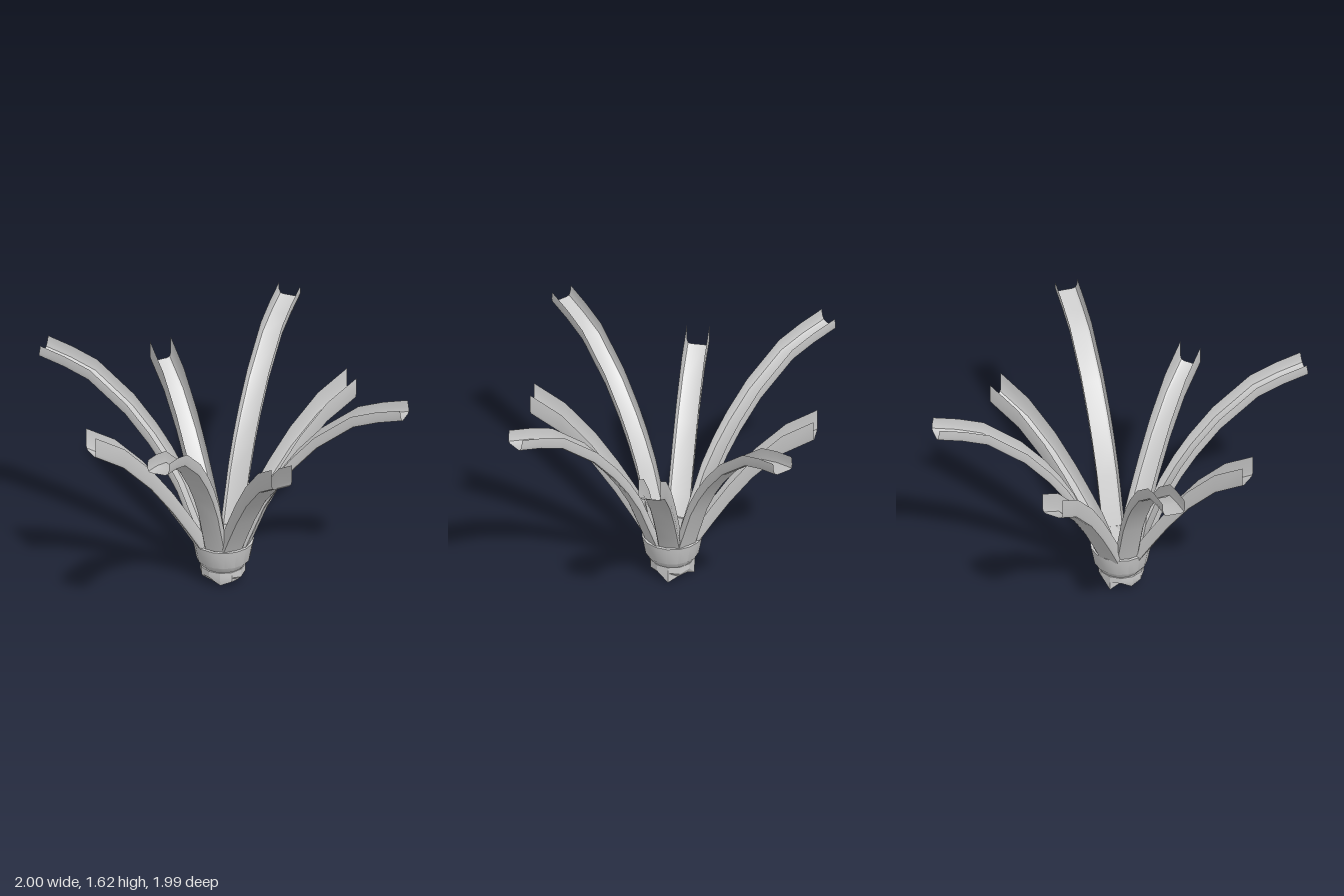
import * as THREE from 'three';
import { toCreasedNormals } from 'three/addons/utils/BufferGeometryUtils.js';

const material = new THREE.MeshStandardMaterial({ color: 0xcccccc, side: THREE.DoubleSide });

// Skin a list of equal-length cross-sections (arrays of [x, y, z]).
function loft(sections, crease) {
  const n = sections[0].length;
  const index = [];
  for (let i = 0; i < sections.length - 1; i++) {
    for (let j = 0; j < n - 1; j++) {
      const a = i * n + j, b = a + n;
      index.push(a, a + 1, b, b, a + 1, b + 1);
    }
  }
  const geometry = new THREE.BufferGeometry();
  geometry.setAttribute('position', new THREE.Float32BufferAttribute(sections.flat(2), 3));
  geometry.setIndex(index);
  return toCreasedNormals(geometry, crease);
}

// Thin U-shaped gutter following a [radius, height] path, running along +z.
function channel(path, wall, lean) {
  const w = 0.078;
  const profile = [[-w, wall], [-w, 0.035], [-w + 0.008, 0.008], [-w + 0.025, 0],
    [w - 0.025, 0], [w - 0.008, 0.008], [w, 0.035], [w, wall]];
  return loft(path.map(([r, y]) => profile.map(([x, h]) => [x, y + h, r - lean * h])), 0.6);
}

function add(parent, name, geometry) {
  const mesh = new THREE.Mesh(geometry, material);
  mesh.name = name;
  parent.add(mesh);
  return mesh;
}

export function createModel() {
  const group = new THREE.Group();
  group.name = 'radialFrame';

  // Four short arms on the axes and four long, higher arms on the diagonals
  const shortArm = channel([[0.12, 0.15], [0.19, 0.30], [0.28, 0.45], [0.40, 0.64],
    [0.56, 0.86], [0.77, 1.08], [0.99, 1.22]], 0.16, 0);
  const longArm = channel([[0.13, 0.15], [0.19, 0.32], [0.32, 0.65], [0.42, 0.83], [0.53, 0.99],
    [0.70, 1.19], [0.97, 1.41], [1.15, 1.48], [1.33, 1.53]], 0.09, 0.15);
  for (let i = 0; i < 4; i++) {
    const short = add(group, 'shortArm', shortArm);
    short.rotation.y = i * Math.PI / 2;
    short.position.set(-0.007, 0, -0.01);
    const long = add(group, 'longArm', longArm);
    long.rotation.y = (i + 0.5) * Math.PI / 2;
    long.position.x = 0.01;
  }

  // Flared collar, open at the top
  const collarProfile = [[0, 0.14], [0.14, 0.14], [0.17, 0.19], [0.195, 0.315], [0.212, 0.312],
    [0.186, 0.175], [0.15, 0.125], [0, 0.125]].reverse().map(([r, y]) => new THREE.Vector2(r, y));
  const collar = add(group, 'collar', toCreasedNormals(new THREE.LatheGeometry(collarProfile, 16), 0.45));
  collar.position.x = 0.005;

  // Broken stub below the collar, with a jagged lower edge
  const jag = [0.03, 0.06, 0.0, 0.03, 0.05, 0.01, 0.07, 0.03, 0.06, 0.04, 0.02, 0.05];
  const ring = (radius, height) => Array.from({ length: 13 }, (_, j) => {
    const a = j / 12 * Math.PI * 2 + 0.5;
    return [Math.sin(a) * radius(j % 12), height(j % 12), Math.cos(a) * radius(j % 12)];
  });
  const stub = loft([
    ring(() => 0, () => 0.05),
    ring((j) => 0.08 + 0.02 * (j % 2), (j) => 0.03 + 0.5 * jag[(j + 5) % 12]),
    ring((j) => 0.125 + 0.015 * (j % 3), (j) => jag[j]),
    ring(() => 0.158, (j) => 0.065 + 0.3 * jag[(j + 2) % 12]),
    ring(() => 0.158, () => 0.125),
    ring(() => 0, () => 0.13),
  ], 0.4);
  // Ring order faces inward, so flip the triangles
  const p = stub.attributes.position.array;
  for (let i = 0; i < p.length; i += 9) {
    for (let k = 0; k < 3; k++) [p[i + k], p[i + 3 + k]] = [p[i + 3 + k], p[i + k]];
  }
  add(group, 'brokenStub', toCreasedNormals(stub, 0.4));
  return group;
}
